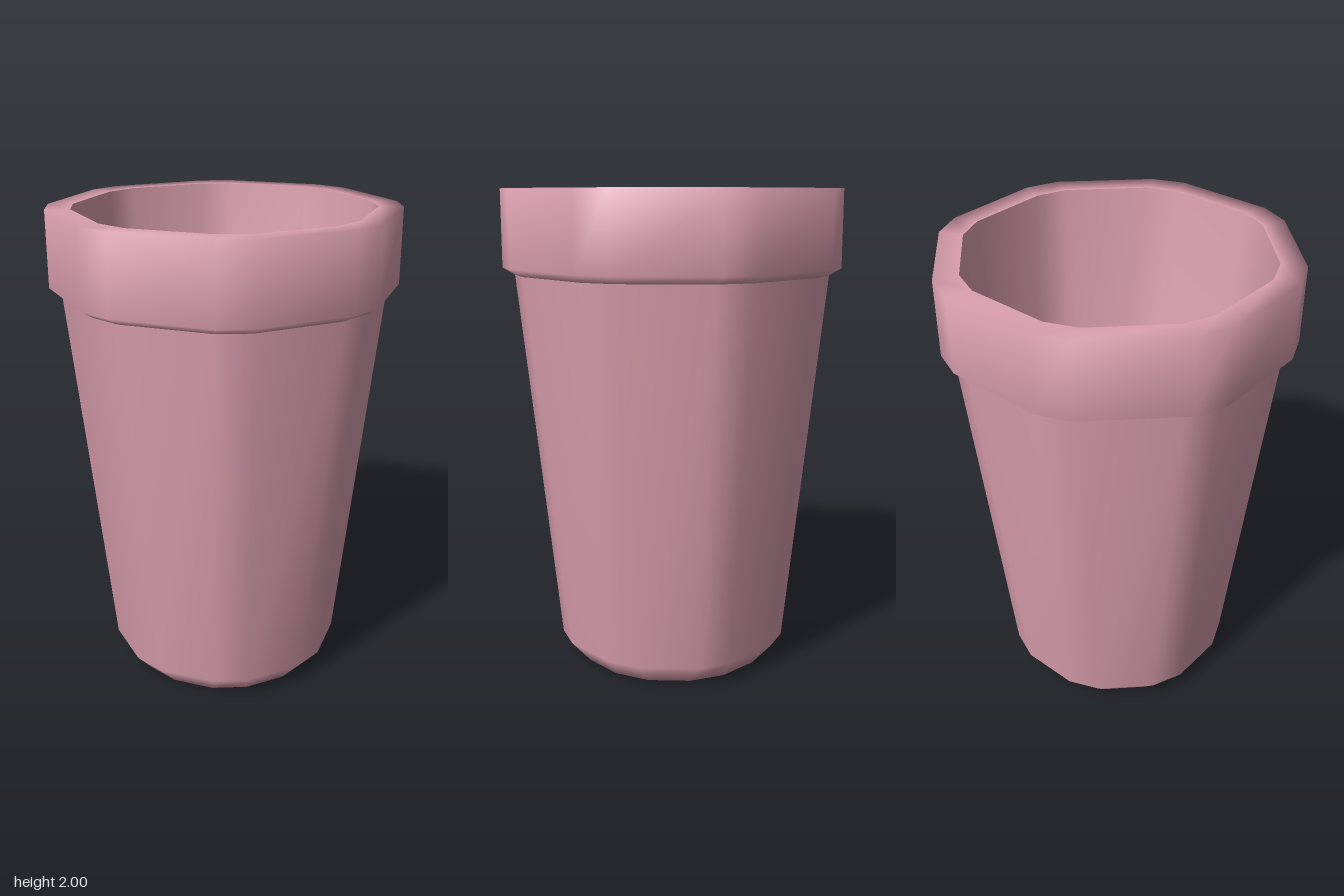
import * as THREE from 'three';

// Octagonal ring with chamfered corners: r = reach along the axes, w = half chamfer width
function ring(r, y, w) {
  const points = [];
  for (let k = 0; k < 8; k++) {
    const a = (k * Math.PI) / 4;
    for (const s of [-w, w]) {
      points.push(
        r * Math.sin(a) + s * Math.cos(a),
        y,
        r * Math.cos(a) - s * Math.sin(a)
      );
    }
  }
  return points;
}

// Smooth skin through a list of [r, y, w] rings
function loft(profile) {
  const n = 16;
  const positions = profile.flatMap(([r, y, w]) => ring(r, y, w));
  const index = [];
  for (let i = 0; i < profile.length - 1; i++) {
    const fromCentre = profile[i][0] === 0;
    const toCentre = profile[i + 1][0] === 0;
    for (let j = 0; j < n; j++) {
      const a = i * n + j;
      const b = i * n + ((j + 1) % n);
      if (!toCentre) index.push(a, b + n, a + n);
      if (!fromCentre) index.push(a, b, toCentre ? a + n : b + n);
    }
  }
  const geometry = new THREE.BufferGeometry();
  geometry.setAttribute('position', new THREE.Float32BufferAttribute(positions, 3));
  geometry.setIndex(index);
  geometry.computeVertexNormals();
  return geometry;
}

export function createModel() {
  const group = new THREE.Group();
  group.name = 'cup';
  const material = new THREE.MeshStandardMaterial({ color: 0xdca0b0 });

  const parts = {
    // Tapered outside with a chamfered foot and closed base
    body: [[0, 0, 0], [0.41, 0, 0.075], [0.49, 0.09, 0.07], [0.655, 1.66, 0.07]],
    // Thick collar with a sloped underside and flat lip
    rim: [[0.655, 1.66, 0.07], [0.705, 1.69, 0.07], [0.705, 2, 0.07], [0.605, 2, 0.066]],
    // Hollow inside, from the lip down to the floor
    interior: [[0.605, 2, 0.066], [0.405, 0.1, 0.075], [0, 0.1, 0]],
  };

  for (const [name, profile] of Object.entries(parts)) {
    const mesh = new THREE.Mesh(loft(profile), material);
    mesh.name = name;
    group.add(mesh);
  }
  return group;
}
